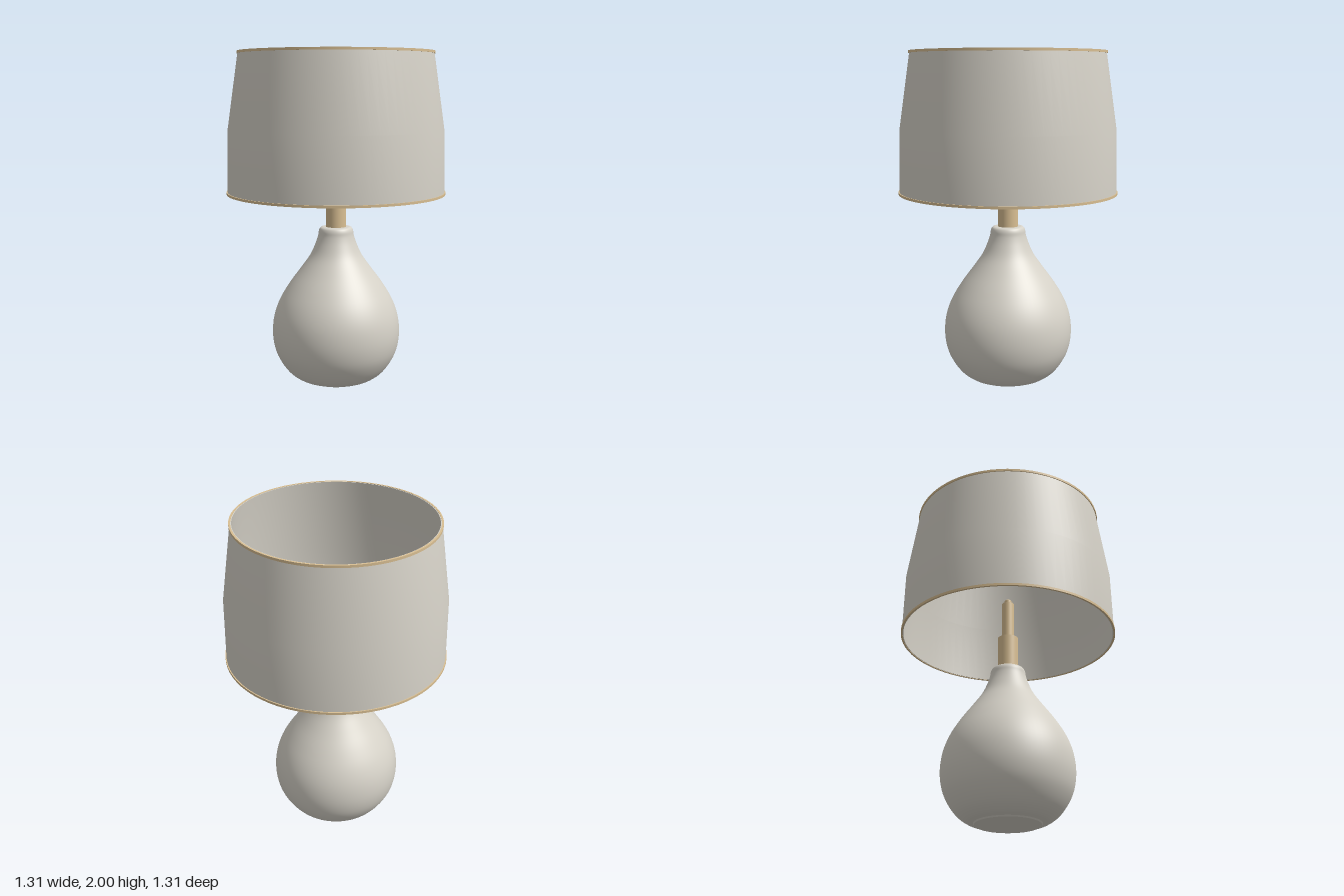
import * as THREE from 'three';

const SEGMENTS = 72;

export function createModel() {
  const lamp = new THREE.Group();
  lamp.name = 'tableLamp';

  const ceramic = new THREE.MeshStandardMaterial({ color: 0xd6d2c8 });
  ceramic.name = 'warmGrey';
  const brass = new THREE.MeshStandardMaterial({ color: 0xd9bf93 });
  brass.name = 'paleBrass';

  const add = (name, geometry, material, parent = lamp) => {
    const mesh = new THREE.Mesh(geometry, material);
    mesh.name = name;
    parent.add(mesh);
    return mesh;
  };
  const lathe = (points) =>
    new THREE.LatheGeometry(points.map(([r, y]) => new THREE.Vector2(r, y)), SEGMENTS);

  // Gourd-shaped body, smoothed through a few profile points
  const bodyCurve = new THREE.SplineCurve([
    [0.2, 0.009], [0.24, 0.02], [0.295, 0.06], [0.343, 0.125], [0.376, 0.2], [0.39, 0.295],
    [0.38, 0.4], [0.345, 0.5], [0.286, 0.6], [0.213, 0.7], [0.157, 0.78],
    [0.125, 0.85], [0.109, 0.9], [0.104, 0.93], [0.095, 0.948], [0.08, 0.954],
  ].map(([r, y]) => new THREE.Vector2(r, y)));
  const bodyProfile = bodyCurve.getPoints(60).map((p) => [p.x, p.y]);
  add('body', lathe([[0, 0.005], [0.19, 0.005], ...bodyProfile, [0, 0.955]]), ceramic);
  add('foot', new THREE.CylinderGeometry(0.2, 0.19, 0.012, SEGMENTS), ceramic).position.y = 0.006;

  // Stepped stem with a rounded tip
  const stem = new THREE.Group();
  stem.name = 'stem';
  lamp.add(stem);
  const rod = (name, radius, bottom, top) => {
    const geometry = new THREE.CylinderGeometry(radius, radius, top - bottom, 40);
    add(name, geometry, brass, stem).position.y = (bottom + top) / 2;
  };
  rod('socket', 0.062, 0.94, 1.16);
  rod('upperRod', 0.037, 1.16, 1.4);
  rod('tipPin', 0.022, 1.4, 1.42);
  const tip = add('tip', new THREE.SphereGeometry(0.022, 32, 10, 0, Math.PI * 2, 0, Math.PI / 2), brass, stem);
  tip.position.y = 1.42;
  tip.scale.y = 0.6;

  // Hollow shade: outer wall, inner wall and the two edges between them
  const shade = new THREE.Group();
  shade.name = 'shade';
  lamp.add(shade);
  const wall = 0.009;
  const outer = [[0.65, 1.163], [0.643, 1.54], [0.576, 1.998]];
  const inner = outer.map(([r, y]) => [r - wall, y]).reverse();
  add('shadeOuter', lathe(outer), ceramic, shade);
  add('shadeInner', lathe(inner), ceramic, shade);
  add('shadeTopEdge', lathe([outer[2], inner[0]]), ceramic, shade);
  add('shadeBottomEdge', lathe([inner[2], outer[0]]), ceramic, shade);

  // Trim bands, each side built separately so its edges stay sharp
  const trim = (name, r0, r1, y0, y1) => {
    const band = new THREE.Group();
    band.name = name;
    shade.add(band);
    const corners = [[r0, y0], [r1, y0], [r1, y1], [r0, y1]];
    corners.forEach((corner, i) => {
      add(name + 'Side', lathe([corner, corners[(i + 1) % 4]]), brass, band);
    });
  };
  trim('topTrim', 0.572, 0.583, 1.986, 2);
  trim('bottomTrim', 0.645, 0.656, 1.16, 1.174);

  return lamp;
}
